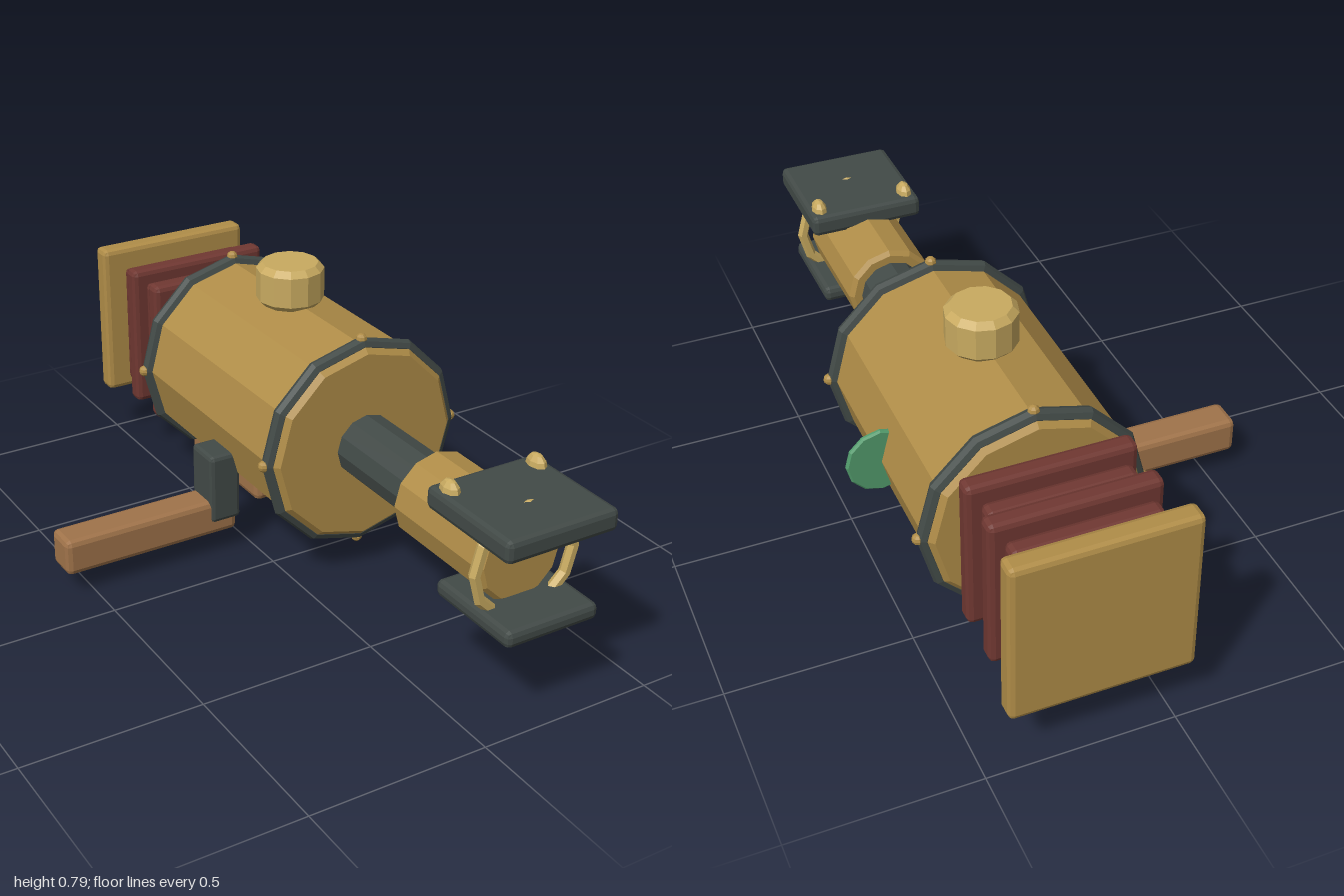
import * as THREE from 'three';
import { RoundedBoxGeometry } from 'three/addons/geometries/RoundedBoxGeometry.js';

const CX = 0.195, CY = 0.395; // barrel axis

function material(name, color) {
  const m = new THREE.MeshStandardMaterial({ color, flatShading: true });
  m.name = name;
  return m;
}

// Twelve-sided cylinder along y with chamfered rims
function bevelCylinder(radius, length, bevel) {
  const h = length / 2;
  const profile = [
    [0, -h], [radius - bevel, -h], [radius, -h + bevel],
    [radius, h - bevel], [radius - bevel, h], [0, h],
  ].map(([x, y]) => new THREE.Vector2(x, y));
  return new THREE.LatheGeometry(profile, 12);
}

export function createModel() {
  const model = new THREE.Group();
  const gold = material('gold', 0xb08d48);
  const paleGold = material('pale gold', 0xc8aa60);
  const iron = material('dark iron', 0x424a47);
  const leather = material('red leather', 0x703832);
  const wood = material('wood', 0xa0734a);
  const green = material('green', 0x529b6c);

  function add(name, geometry, mat, x, y, z) {
    const mesh = new THREE.Mesh(geometry, mat);
    mesh.name = name;
    mesh.position.set(x, y, z);
    model.add(mesh);
    return mesh;
  }
  // Chamfered box given by its extents
  function box(name, mat, [x0, x1], [y0, y1], [z0, z1], bevel = 0.015) {
    return add(name, new RoundedBoxGeometry(x1 - x0, y1 - y0, z1 - z0, 1, bevel), mat,
      (x0 + x1) / 2, (y0 + y1) / 2, (z0 + z1) / 2);
  }
  // Cylinder on the barrel axis
  function axial(name, mat, radius, z0, z1, bevel) {
    const mesh = add(name, bevelCylinder(radius, z1 - z0, bevel), mat, CX, CY, (z0 + z1) / 2);
    mesh.rotation.x = Math.PI / 2;
    return mesh;
  }

  // Barrel, neck and nozzle
  axial('barrel', gold, 0.286, -0.6, 0.165, 0.016);
  axial('neck', iron, 0.091, 0.14, 0.5, 0.005);
  axial('nozzle', gold, 0.126, 0.475, 0.85, 0.012);
  add('nozzleRing', new THREE.TorusGeometry(0.15, 0.016, 6, 12), paleGold, CX, CY, 0.86);

  // Barrel bands with four rivets each
  for (const z of [0.13, -0.565]) {
    add('band', new THREE.TorusGeometry(0.286, 0.021, 8, 12), iron, CX, CY, z);
    for (let i = 0; i < 4; i++) {
      const a = i * Math.PI / 2;
      add('rivet', new THREE.SphereGeometry(0.016, 8, 6), gold,
        CX + 0.302 * Math.cos(a), CY + 0.302 * Math.sin(a), z);
    }
  }

  // Jaw plates around the nozzle, with bolts on the upper one
  box('upperJaw', iron, [0.03, 0.36], [0.495, 0.557], [0.67, 1.0]);
  box('lowerJaw', iron, [0.058, 0.335], [0.247, 0.293], [0.69, 0.985]);
  for (const side of [-1, 1]) {
    const bolt = add('bolt', new THREE.SphereGeometry(0.035, 8, 6), paleGold,
      CX + side * 0.131, 0.553, 0.722);
    bolt.scale.set(0.65, 1, 1);
  }

  // Knob on top
  add('knob', bevelCylinder(0.096, 0.12, 0.017), paleGold, CX, 0.733, -0.235);

  // Fin on the left side
  const fin = add('fin', bevelCylinder(0.095, 0.016, 0.005), green, 0.48, CY + 0.003, -0.248);
  fin.rotation.x = Math.PI / 2;

  // Bellows and rear plate
  for (let i = 0; i < 4; i++) {
    const w = i % 2 ? 0.194 : 0.223, h = i % 2 ? 0.186 : 0.216, z = -0.66 - i * 0.071;
    box('bellowsFold', leather, [CX - w, CX + w], [CY + 0.004 - h, CY + 0.004 + h],
      [z - 0.028, z + 0.028]);
  }
  box('rearPlate', gold, [CX - 0.243, CX + 0.243], [0.163, 0.633], [-0.998, -0.934]);

  // Grip below
  box('gripPlate', iron, [0.09, 0.3], [0.108, 0.135], [-0.59, -0.3], 0.006);
  box('grip', wood, [0.132, 0.258], [0, 0.14], [-0.727, -0.319], 0.018);

  // Side handle
  box('handleBracket', iron, [-0.137, -0.043], [0.108, 0.316], [-0.22, -0.107], 0.012);
  box('handle', wood, [-0.58, -0.052], [0.068, 0.173], [-0.215, -0.114], 0.016);

  return model;
}
